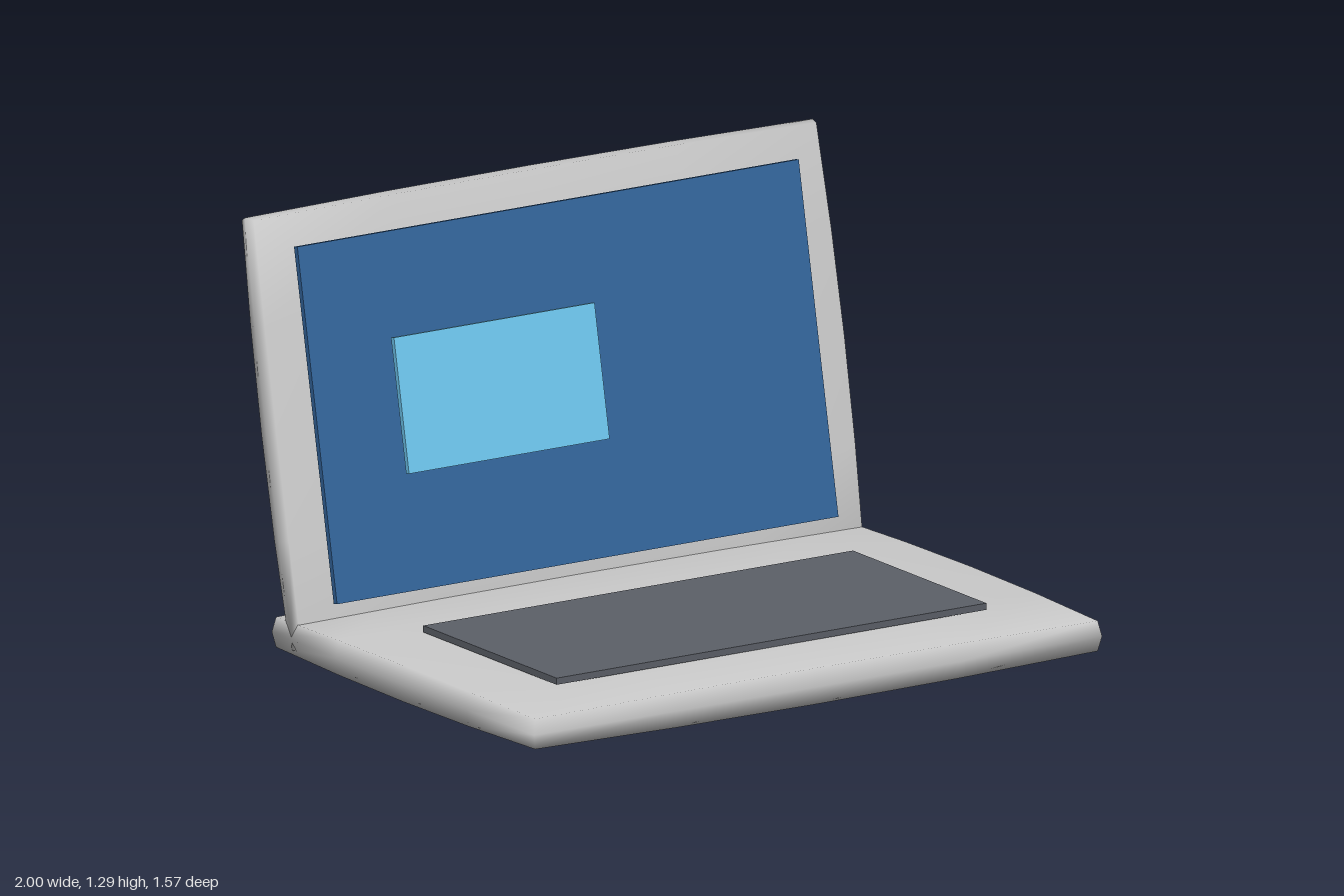
import * as THREE from 'three';
import { mergeVertices } from 'three/addons/utils/BufferGeometryUtils.js';

// Box whose faces swell gently outwards; shared vertices give smooth normals
function pillowBox(w, h, d, segments, swell) {
  const geo = new THREE.BoxGeometry(2, 2, 2, ...segments);
  geo.deleteAttribute('normal');
  geo.deleteAttribute('uv');
  const merged = mergeVertices(geo);
  const half = [w / 2 - swell, h / 2 - swell, d / 2 - swell];
  const pos = merged.attributes.position;
  for (let i = 0; i < pos.count; i++) {
    const p = [pos.getX(i), pos.getY(i), pos.getZ(i)];
    const q = p.map((c, k) => {
      const a = p[(k + 1) % 3], b = p[(k + 2) % 3];
      return c * (half[k] + swell * (1 - (a * a + b * b) / 2));
    });
    pos.setXYZ(i, ...q);
  }
  merged.computeVertexNormals();
  return merged;
}

export function createModel() {
  const laptop = new THREE.Group();
  laptop.name = 'laptop';

  const add = (parent, name, geometry, color, x, y, z) => {
    const mesh = new THREE.Mesh(geometry, new THREE.MeshStandardMaterial({ color }));
    mesh.name = name;
    mesh.position.set(x, y, z);
    parent.add(mesh);
    return mesh;
  };
  const swell = 0.018;

  // Base with keyboard slab
  add(laptop, 'base', pillowBox(2, 0.127, 1.395, [4, 2, 4], swell), 0xcccccc, 0, 0.0635, 0.083);
  add(laptop, 'keyboard', new THREE.BoxGeometry(1.5, 0.02, 0.7), 0x5c6068, 0, 0.134, 0.177);

  // Tilted lid, display panel and window floating in front of it
  const tilted = (name, geometry, color, x, y, z) => {
    add(laptop, name, geometry, color, x, y, z).rotation.x = -0.2;
  };
  tilted('lid', pillowBox(2, 1.29, 0.099, [4, 4, 2], swell), 0xcccccc, 0, 0.655, -0.62);
  tilted('screen', new THREE.BoxGeometry(1.75, 1.05, 0.018), 0x32649a, 0, 0.68, -0.55);
  tilted('screenWindow', new THREE.BoxGeometry(0.7, 0.4, 0.016), 0x6ec6ee, -0.25, 0.705, -0.52);

  return laptop;
}
